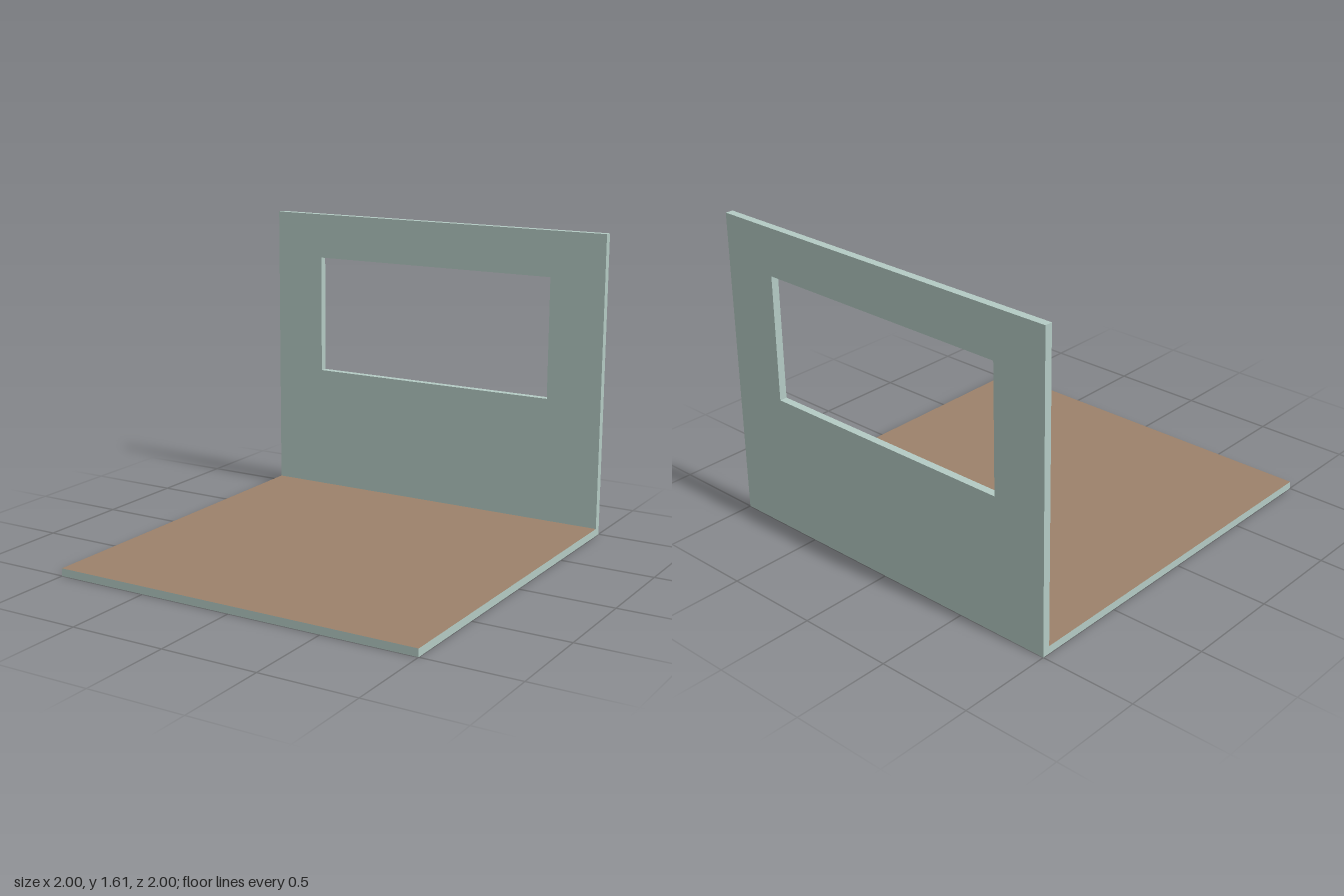
import * as THREE from 'three';

const WIDTH = 2, HEIGHT = 1.61, THICK = 0.04;

export function createModel() {
  const group = new THREE.Group();
  group.name = 'roomCorner';
  const paint = new THREE.MeshStandardMaterial({ color: 0xb4cbc4 });
  paint.name = 'pale green paint';
  const wood = new THREE.MeshStandardMaterial({ color: 0x9c826b });
  wood.name = 'brown floor';

  // Back wall with a window opening
  const outline = new THREE.Shape([
    new THREE.Vector2(-WIDTH / 2, 0), new THREE.Vector2(WIDTH / 2, 0),
    new THREE.Vector2(WIDTH / 2, HEIGHT), new THREE.Vector2(-WIDTH / 2, HEIGHT),
  ]);
  outline.holes.push(new THREE.Path([
    new THREE.Vector2(-0.715, 0.713), new THREE.Vector2(-0.715, 1.365),
    new THREE.Vector2(0.695, 1.365), new THREE.Vector2(0.695, 0.713),
  ]));
  const wall = new THREE.Mesh(
    new THREE.ExtrudeGeometry(outline, { depth: THICK, bevelEnabled: false }), paint);
  wall.name = 'backWall';
  wall.position.z = -1;
  group.add(wall);

  // Floor slab: only its top face is brown
  const depth = 2 - THICK;
  const floor = new THREE.Mesh(
    new THREE.BoxGeometry(WIDTH, THICK, depth),
    [paint, paint, wood, paint, paint, paint]);
  floor.name = 'floor';
  floor.position.set(0, THICK / 2, 1 - depth / 2);
  group.add(floor);

  return group;
}
